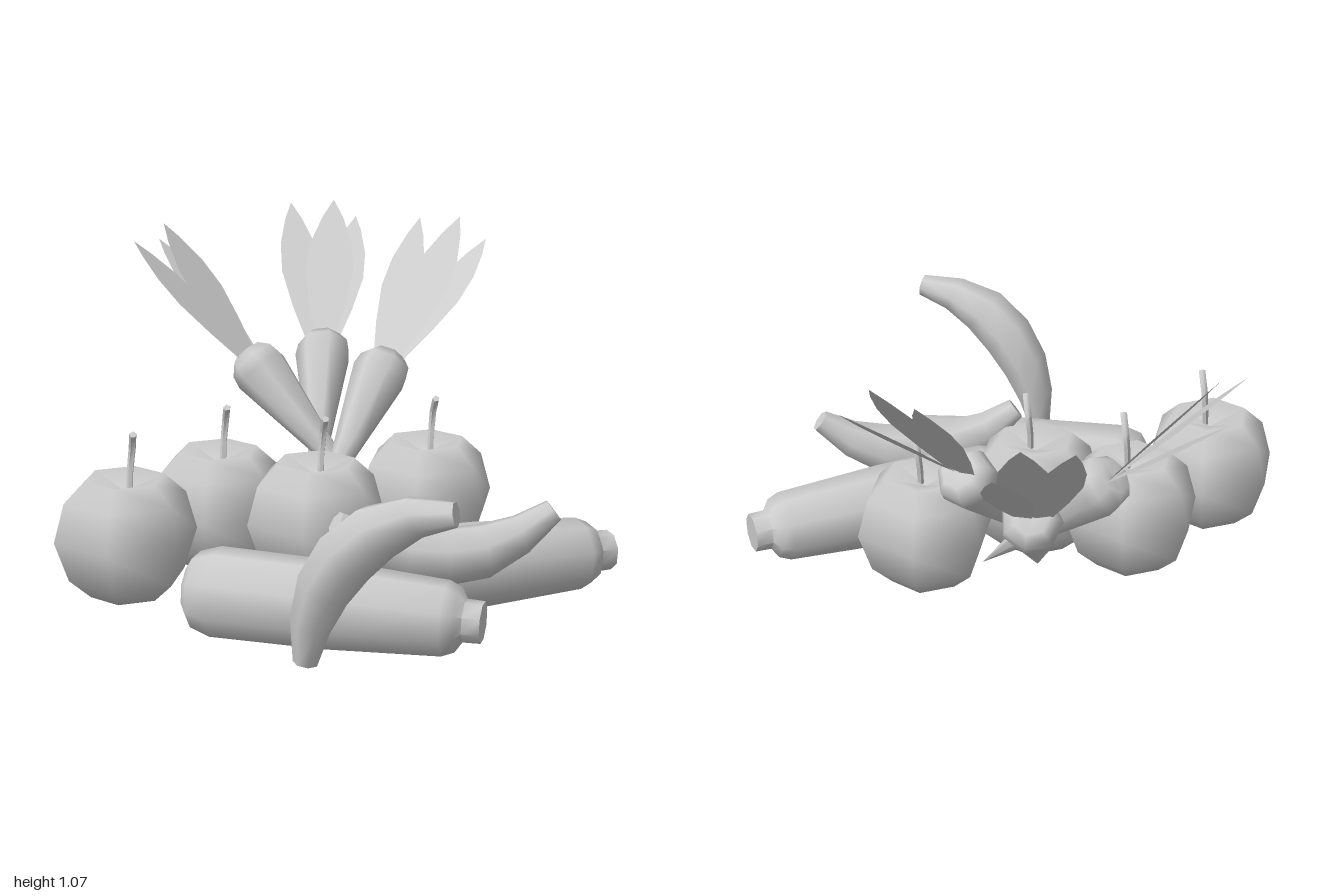
import * as THREE from 'three';
import { toCreasedNormals } from 'three/addons/utils/BufferGeometryUtils.js';

const V = (p) => new THREE.Vector3(...p);
const UP = new THREE.Vector3(0, 1, 0);
const skin = new THREE.MeshStandardMaterial({ color: 0xcccccc });
const thin = new THREE.MeshStandardMaterial({ color: 0xcccccc, side: THREE.DoubleSide });

function mesh(name, geometry, material = skin) {
  const m = new THREE.Mesh(geometry, material);
  m.name = name;
  return m;
}

// Turned body: profile of [radius, height]
function turned(profile, sides) {
  return new THREE.LatheGeometry(profile.map(([r, y]) => new THREE.Vector2(r, y)), sides);
}

// Tube along a curve, one radius per ring, with flat closed ends
function sweep(points, radii, sides) {
  const curve = new THREE.CatmullRomCurve3(points.map(V));
  const rings = [0, ...radii, 0];
  const n = rings.length - 1;
  const geo = new THREE.TubeGeometry(curve, n, 1, sides);
  const pos = geo.attributes.position;
  const v = new THREE.Vector3();
  for (let k = 0; k < pos.count; k++) {
    const i = Math.floor(k / (sides + 1));
    const u = THREE.MathUtils.clamp((i - 1) / (n - 2), 0, 1);
    v.fromBufferAttribute(pos, k).sub(curve.getPointAt(i / n));
    v.multiplyScalar(rings[i]).add(curve.getPointAt(u));
    pos.setXYZ(k, v.x, v.y, v.z);
  }
  return toCreasedNormals(geo, 1.2);
}

// Six-sided apple with dimples and a bent stem
function apple(x, z) {
  const g = new THREE.Group();
  g.name = 'apple';
  const body = turned([
    [0, 0.1], [0.12, 0.073], [0.19, 0.135], [0.235, 0.265],
    [0.2, 0.39], [0.13, 0.456], [0, 0.41],
  ], 6);
  body.rotateY(Math.PI / 2);
  g.add(mesh('appleBody', body));
  g.add(mesh('appleStem', sweep(
    [[0.02, 0.4, 0], [0.018, 0.46, -0.004], [0.006, 0.54, -0.03], [0.045, 0.605, 0.005]],
    [0.011, 0.011, 0.012, 0.012], 5)));
  g.position.set(x, 0, z);
  return g;
}

// Flat pointed leaf from base to tip, widened along side
function leaf(base, tip, side, half) {
  const outline = [[0, 0.35], [0.25, 0.75], [0.5, 1], [0.7, 0.85], [0.88, 0.42], [1, 0]];
  const verts = [];
  const index = [];
  outline.forEach(([t, w], i) => {
    const c = base.clone().lerp(tip, t);
    for (const s of [-1, 1]) verts.push(...c.clone().addScaledVector(side, s * w * half).toArray());
    if (i) {
      const a = 2 * i - 2;
      index.push(a, a + 1, a + 3, a, a + 3, a + 2);
    }
  });
  const geo = new THREE.BufferGeometry();
  geo.setAttribute('position', new THREE.Float32BufferAttribute(verts, 3));
  geo.setIndex(index);
  geo.computeVertexNormals();
  return geo;
}

// Carrot from its point to its crown, with three leaves
function carrot(pointPos, crownPos, leafTips) {
  const g = new THREE.Group();
  g.name = 'carrot';
  const a = V(pointPos);
  const b = V(crownPos);
  const axis = b.clone().sub(a);
  const len = axis.length();
  axis.normalize();
  const body = mesh('carrotRoot', turned([
    [0, 0], [0.05, len * 0.45], [0.098, len - 0.08], [0.09, len - 0.035], [0.058, len], [0, len - 0.01],
  ], 7));
  body.position.copy(a);
  body.quaternion.setFromUnitVectors(UP, axis);
  g.add(body);
  const right = axis.clone().cross(UP).normalize();
  leafTips.forEach((p, i) => {
    const tip = V(p);
    const base = b.clone().addScaledVector(axis, -0.02);
    base.addScaledVector(right, THREE.MathUtils.clamp(tip.clone().sub(b).dot(right) * 0.25, -0.04, 0.04));
    const side = tip.clone().sub(base).cross(UP).normalize().lerp(right, 0.5).normalize();
    g.add(mesh('carrotLeaf', leaf(base, tip, side, i === 1 ? 0.086 : 0.072), thin));
  });
  return g;
}

// Zucchini lying between two points, with a stub at the far end
function zucchini(start, end) {
  const a = V(start);
  const axis = V(end).sub(a);
  const L = axis.length();
  const m = mesh('zucchini', toCreasedNormals(turned([
    [0, -0.06], [0.075, -0.06], [0.12, -0.035], [0.142, 0.03], [0.138, L * 0.5],
    [0.117, L - 0.03], [0.1, L + 0.01], [0.067, L + 0.03], [0.065, L + 0.085], [0, L + 0.085],
  ], 8), 1.0));
  m.position.copy(a);
  m.quaternion.setFromUnitVectors(UP, axis.normalize());
  return m;
}

export function createModel() {
  const model = new THREE.Group();
  model.name = 'produce';

  // Apples
  for (const [x, z] of [[0.165, -0.235], [-0.29, 0.284], [0.047, 0.19], [-0.3, 0.711]]) {
    model.add(apple(x, z));
  }

  // Carrots fanned out behind
  model.add(
    carrot([-0.093, 0.2, 0.03], [-0.155, 0.655, -0.44],
      [[-0.31, 1.06, -0.81], [-0.15, 1.08, -0.83], [-0.08, 1.0, -0.89]]),
    carrot([-0.2, 0.19, -0.1], [-0.51, 0.65, -0.52],
      [[-0.85, 1.06, -0.74], [-0.73, 1.07, -0.84], [-0.7, 1.0, -0.93]]),
    carrot([-0.065, 0.2, -0.22], [-0.55, 0.655, -0.155],
      [[-0.9, 1.03, 0.03], [-0.9, 1.07, -0.12], [-1.0, 0.99, -0.2]]),
  );

  // Zucchinis
  model.add(
    zucchini([0.03, 0.152, 0.7], [0.745, 0.127, 0.366]),
    zucchini([0.33, 0.152, 0.3], [0.7, 0.135, -0.4]),
  );

  // Bananas: one standing at the front, one resting on the zucchinis
  const thickness = [0.038, 0.065, 0.085, 0.094, 0.088, 0.064, 0.038];
  model.add(
    mesh('bananaFront', sweep(
      [[0.56, 0.085, 0.85], [0.58, 0.22, 0.845], [0.64, 0.37, 0.825], [0.75, 0.5, 0.79],
        [0.86, 0.565, 0.74], [0.985, 0.587, 0.69]],
      thickness, 7)),
    mesh('bananaTop', sweep(
      [[0.345, 0.375, 0.45], [0.43, 0.285, 0.34], [0.57, 0.245, 0.185], [0.69, 0.275, 0.05], [0.8, 0.38, -0.065]],
      thickness, 7)),
  );
  return model;
}
